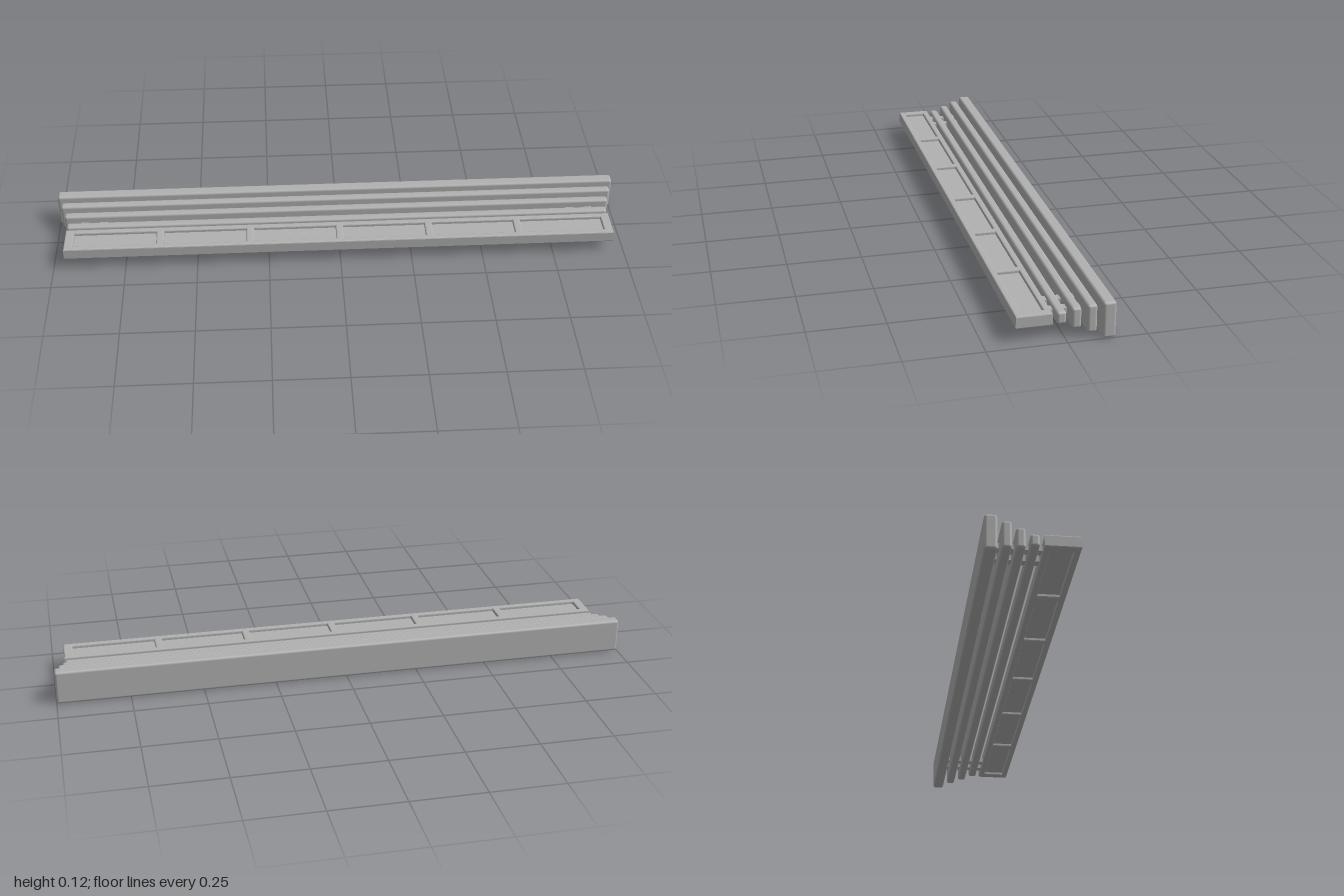
import * as THREE from 'three';
import { RoundedBoxGeometry } from 'three/addons/geometries/RoundedBoxGeometry.js';

const MID_Y = 0.06; // height of the centre line shared by every part

export function createModel() {
  const model = new THREE.Group();
  model.name = 'steppedRail';
  const grey = new THREE.MeshStandardMaterial({ color: 0xb0b0b0 });
  grey.name = 'plainGrey';

  const add = (name, geometry, x, y, z) => {
    const mesh = new THREE.Mesh(geometry, grey);
    mesh.name = name;
    mesh.position.set(x, y, z);
    model.add(mesh);
    return mesh;
  };

  // Four rounded bars, growing towards the back: [length, height, depth, y, z]
  const bars = [
    [1.92, 0.041, 0.030, 0.0615, 0.008],
    [1.94, 0.068, 0.030, 0.061, -0.036],
    [1.97, 0.091, 0.031, 0.0615, -0.080],
    [2.00, 0.118, 0.041, 0.059, -0.1295],
  ];
  bars.forEach(([w, h, d, y, z], i) =>
    add(`bar${i + 1}`, new RoundedBoxGeometry(w, h, d, 2, 0.009), 0, y, z));

  // Pairs of short pins that hold the bars together at each end
  for (const side of [-1, 1])
    for (const x of [0.832, 0.898])
      add('connectingPin', new THREE.BoxGeometry(0.028, 0.018, 0.16), side * x, MID_Y + 0.001, -0.035);

  // Front frame with six rectangular openings, drawn flat and laid down
  const rectangle = (target, cx, w, h) => {
    target.moveTo(cx - w / 2, -h / 2);
    target.lineTo(cx + w / 2, -h / 2);
    target.lineTo(cx + w / 2, h / 2);
    target.lineTo(cx - w / 2, h / 2);
    target.closePath();
    return target;
  };
  const bevel = 0.004;
  const frame = rectangle(new THREE.Shape(), 0, 1.92 - 2 * bevel, 0.114 - 2 * bevel);
  for (let i = 0; i < 6; i++)
    frame.holes.push(rectangle(new THREE.Path(), (i - 2.5) * 0.314, 0.288 + 2 * bevel, 0.072 + 2 * bevel));
  const frameGeometry = new THREE.ExtrudeGeometry(frame, {
    depth: 0.041 - 2 * bevel, bevelThickness: bevel, bevelSize: bevel, bevelSegments: 2,
  });
  frameGeometry.translate(0, 0, bevel - 0.0205);
  frameGeometry.rotateX(-Math.PI / 2);
  add('frontFrame', frameGeometry, 0, 0.0615, 0.093);

  // Recessed panels seen from above and below
  for (let i = 0; i < 6; i++)
    add('recessedPanel', new THREE.BoxGeometry(0.3, 0.019, 0.084), (i - 2.5) * 0.314, 0.0615, 0.093);

  return model;
}
